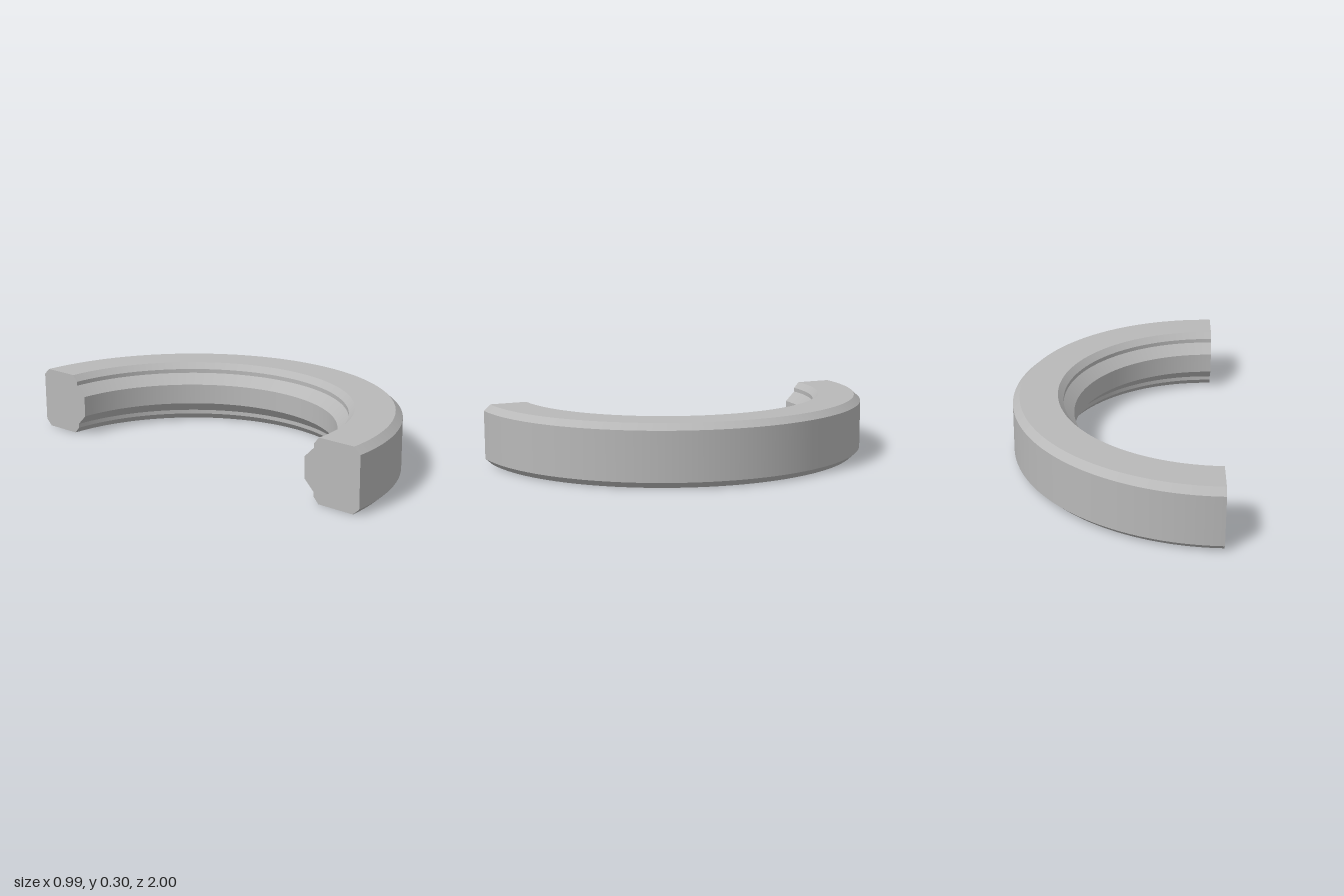
import * as THREE from 'three';
import { mergeGeometries } from 'three/addons/utils/BufferGeometryUtils.js';

const AXIS_X = -0.504; // ring axis
const CUT = 0.008;     // the ring is sawn just past its axis

// Cross-section (radius, height), counter-clockwise from the bottom inner corner
const PROFILE = [
  [0.782, 0], [0.967, 0], [1, 0.03], [1, 0.27], [0.967, 0.3], [0.782, 0.3],
  [0.755, 0.27], [0.755, 0.25], [0.704, 0.2], [0.704, 0.1], [0.755, 0.05], [0.755, 0.03],
].map(([r, y]) => new THREE.Vector2(r, y));

// One lathe per profile edge keeps the chamfers crisp and the sweep smooth
function ringSurface() {
  const bands = PROFILE.map((p, i) =>
    new THREE.LatheGeometry([p, PROFILE[(i + 1) % PROFILE.length]], 96, 0, Math.PI));
  const geometry = mergeGeometries(bands);
  const pos = geometry.attributes.position;
  for (let i = 0; i < pos.count; i++) pos.setX(i, Math.max(pos.getX(i), CUT));
  return geometry;
}

// Flat sawn face closing one end, facing -x
function endFace(side) {
  const shape = new THREE.Shape(PROFILE.map((p) => new THREE.Vector2(p.x * side, p.y)));
  return new THREE.ShapeGeometry(shape).rotateY(-Math.PI / 2).translate(CUT, 0, 0);
}

export function createModel() {
  const group = new THREE.Group();
  group.name = 'halfRing';
  const steel = new THREE.MeshStandardMaterial({ color: 0xb8b8b8 });
  steel.name = 'steelGrey';

  const add = (name, geometry) => {
    const mesh = new THREE.Mesh(geometry, steel);
    mesh.name = name;
    mesh.position.x = AXIS_X;
    group.add(mesh);
  };
  add('ringBody', ringSurface());
  add('frontEndFace', endFace(1));
  add('backEndFace', endFace(-1));
  return group;
}
